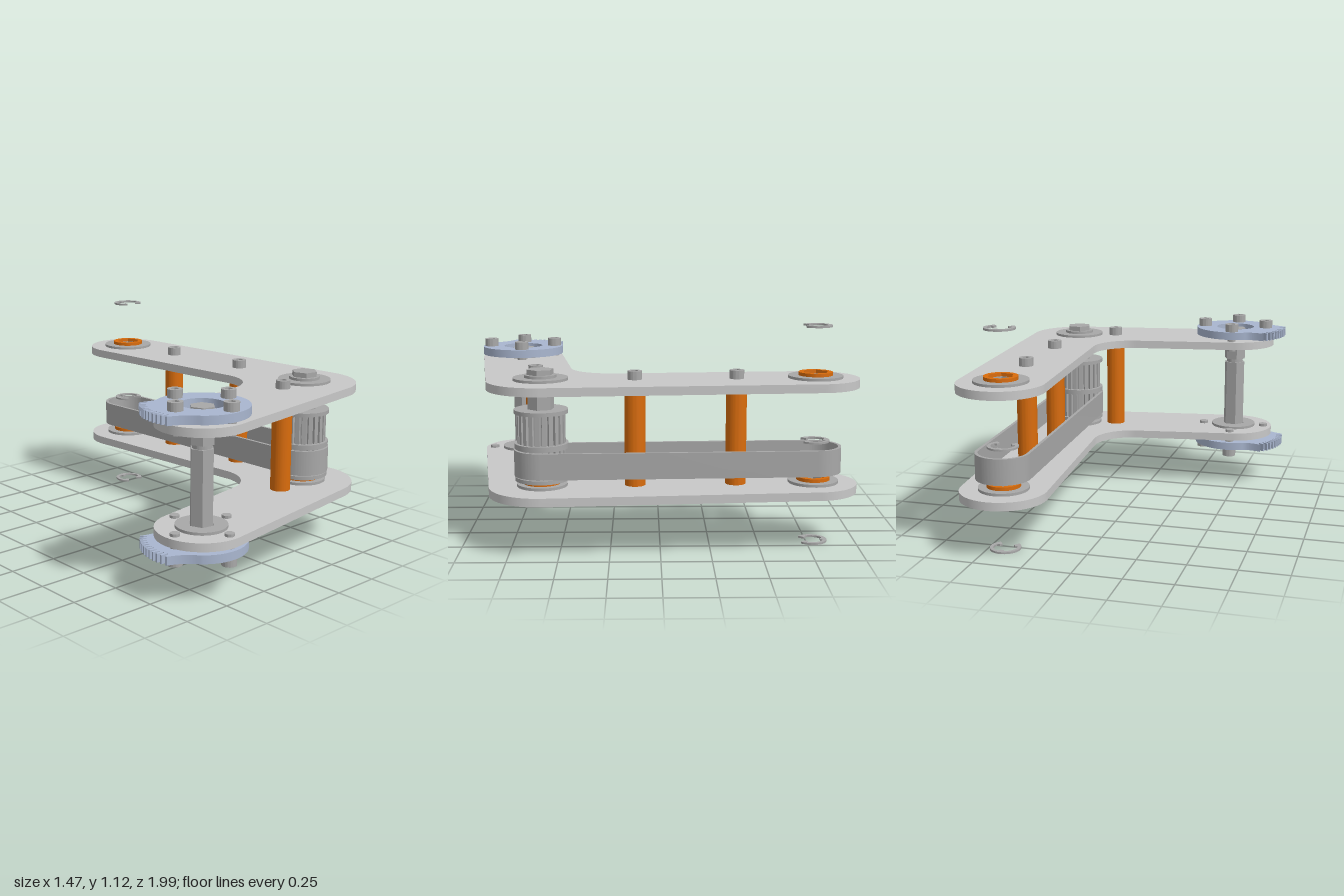
import * as THREE from 'three';
import { toCreasedNormals } from 'three/addons/utils/BufferGeometryUtils.js';

const mat = (name, color) => Object.assign(new THREE.MeshStandardMaterial({ color }), { name });
const RAD = Math.PI / 180;
const MID = 0.56; // height of the mirror plane between the two plates

// Pivot positions in plan (x, z) with the plate radius around each
const A = { x: 0.415, z: -0.78, r: 0.22 };
const B = { x: 0.465, z: 0.592, r: 0.268 };
const C = { x: -0.445, z: 0.77, r: 0.225 };

export function createModel() {
  const plateGrey = mat('plate grey', 0xc8c8c8);
  const steel = mat('steel grey', 0xa8a8a8);
  const orange = mat('orange', 0xd96c0c);
  const blue = mat('gear blue', 0xa9b6cf);
  const model = new THREE.Group();

  // Extrude a plan shape (x, z) between two heights
  function slab(name, shape, y0, y1, material, x = 0, z = 0) {
    const raw = new THREE.ExtrudeGeometry(shape, { depth: y1 - y0, bevelEnabled: false, curveSegments: 32 });
    raw.rotateX(Math.PI / 2);
    const mesh = new THREE.Mesh(toCreasedNormals(raw, 0.5), material);
    mesh.name = name;
    mesh.position.set(x, y1, z);
    model.add(mesh);
    return mesh;
  }
  const circle = (r, T = THREE.Shape) => new T().absarc(0, 0, r, 0, Math.PI * 2);
  const polar = (r, deg) => new THREE.Vector2(r * Math.cos(deg * RAD), r * Math.sin(deg * RAD));
  const hexPoints = (r, turn = 10) => [0, 1, 2, 3, 4, 5].map(i => polar(r, turn + i * 60));
  const hex = r => new THREE.Shape(hexPoints(r));
  function hexRing(r, hole) {
    const s = circle(r);
    s.holes.push(new THREE.Path(hexPoints(hole)));
    return s;
  }
  // Same part on the upper side and mirrored on the lower side
  function both(name, shape, y0, y1, material, p) {
    slab(name, shape, y0, y1, material, p.x, p.z);
    slab(name, shape, 2 * MID - y1, 2 * MID - y0, material, p.x, p.z);
  }
  // Socket head screw standing on height y, above and below
  function screws(name, p, y, h) {
    both(name, hexRing(0.037, 0.02), y, y + h, steel, p);
    both(name + 'Core', circle(0.03), y, y + h * 0.4, steel, p);
  }

  // Bent side plates
  const tangent = (p, q) => Math.atan2(q.z - p.z, q.x - p.x) -
    Math.acos((p.r - q.r) / Math.hypot(q.x - p.x, q.z - p.z));
  const ab = tangent(A, B), bc = tangent(B, C);
  const plate = new THREE.Shape();
  plate.absarc(A.x, A.z, A.r, 176 * RAD, ab + 2 * Math.PI);
  plate.absarc(B.x, B.z, B.r, ab, bc);
  plate.absarc(C.x, C.z, C.r, bc, 261.4 * RAD);
  plate.absarc(0.0475, 0.248, 0.217, 81.4 * RAD, -4 * RAD, true);
  plate.closePath();
  for (const p of [A, B, C]) plate.holes.push(new THREE.Path().absarc(p.x, p.z, 0.085, 0, Math.PI * 2));
  both('sidePlate', plate, 0.807, 0.85, plateGrey, { x: 0, z: 0 });

  // Bearings with a flange on both faces of each plate
  for (const p of [A, B, C]) {
    const r = p === C ? 0.13 : 0.137;
    both('bearingOuterFlange', hexRing(r, 0.064), 0.85, 0.863, steel, p);
    both('bearingInnerFlange', hexRing(0.127, 0.064), 0.793, 0.807, steel, p);
    both('bearingBody', hexRing(0.085, 0.064), 0.807, 0.85, steel, p);
  }

  // Orange bushings at the free end and under the pulley
  both('bushing', hexRing(0.085, 0.066), 0.863, 0.88, orange, A);
  slab('lowerBushing', hexRing(0.085, 0.066), 0.327, 0.345, orange, A.x, A.z);
  slab('pulleyBushing', hexRing(0.095, 0.064), 0.327, 0.345, orange, B.x, B.z);

  // Toothed sector gears
  const gear = new THREE.Shape();
  gear.absarc(0, 0, 0.225, 242 * RAD, 495.5 * RAD);
  const foot = polar(0.225, 155), root = polar(0.292, 166);
  gear.quadraticCurveTo(foot.x, foot.y, root.x, root.y);
  const TEETH = 11, step = 60 / TEETH;
  for (let i = 0; i < TEETH; i++) {
    for (const [f, r] of [[0.05, 0.292], [0.4, 0.292], [0.6, 0.258], [0.85, 0.258]]) {
      const v = polar(r, 166 + (i + f) * step);
      gear.lineTo(v.x, v.y);
    }
  }
  const tip = polar(0.292, 227), bend = polar(0.235, 234), end = polar(0.225, 242);
  gear.lineTo(tip.x, tip.y);
  gear.quadraticCurveTo(bend.x, bend.y, end.x, end.y);
  gear.holes.push(circle(0.108, THREE.Path));
  both('sectorGear', gear, 0.865, 0.908, blue, C);

  // Gear screws, with their tips showing inside the plates
  for (let i = 0; i < 4; i++) {
    const v = polar(0.178, -3 + i * 90);
    const p = { x: C.x + v.x, z: C.z + v.y };
    screws('gearScrew', p, 0.908, 0.042);
    both('gearScrewShank', circle(0.024), 0.793, 0.908, steel, p);
  }

  // Hexagonal gear shaft with a grooved spacer on top
  slab('gearShaft', hex(0.06), 0.215, 0.7, steel, C.x, C.z);
  slab('gearShaftNeck', circle(0.047), 0.7, 0.72, steel, C.x, C.z);
  slab('gearShaftSpacer', hex(0.062), 0.72, 0.9, steel, C.x, C.z);
  both('gearShaftHub', circle(0.068), 0.863, 0.875, steel, C);

  // Pulley shaft
  slab('pulleyShaft', hex(0.068), 0.217, 0.903, steel, B.x, B.z);
  both('pulleyShaftHub', circle(0.08), 0.863, 0.877, steel, B);

  // Double toothed pulley with flanges
  const teeth = [];
  for (let i = 0; i < 22; i++) {
    for (const [f, r] of [[0, 0.121], [0.6, 0.121], [0.68, 0.106], [0.92, 0.106]]) {
      teeth.push(polar(r, (i + f) * 360 / 22));
    }
  }
  slab('pulley', new THREE.Shape(teeth), 0.345, 0.7, steel, B.x, B.z);
  for (const [y0, y1] of [[0.345, 0.365], [0.508, 0.535], [0.685, 0.705]]) {
    slab('pulleyFlange', circle(0.135), y0, y1, steel, B.x, B.z);
  }

  // Belt loop around the pulley and the free end
  function loop(r, T) {
    const turn = Math.atan2(B.z - A.z, B.x - A.x);
    const s = new T();
    s.absarc(A.x, A.z, r, turn + Math.PI / 2, turn + Math.PI * 1.5);
    s.absarc(B.x, B.z, r, turn - Math.PI / 2, turn + Math.PI / 2);
    s.closePath();
    return s;
  }
  const belt = loop(0.138, THREE.Shape);
  belt.holes.push(loop(0.122, THREE.Path));
  slab('belt', belt, 0.37, 0.502, steel);

  // Orange standoffs between the plates, screwed from both sides
  for (const [x, z] of [[0.252, 0.635], [0.458, 0.125], [0.436, -0.383]]) {
    slab('standoff', circle(0.052), 0.313, 0.807, orange, x, z);
    screws('standoffScrew', { x, z }, 0.85, 0.043);
  }

  // Loose retaining clips on the free axis
  const clip = new THREE.Shape();
  clip.absarc(0, 0, 0.078, 130 * RAD, 410 * RAD);
  const inner = [[0.046, 50], [0.046, 30], [0.06, 25], [0.06, -75], [0.046, -78], [0.046, -102],
    [0.06, -105], [0.06, -205], [0.046, -210], [0.046, -230]];
  inner.forEach(([r, a], i) => {
    const prev = inner[i - 1];
    if (prev && prev[0] === r) clip.absarc(0, 0, r, prev[1] * RAD, a * RAD, true);
    else { const v = polar(r, a); clip.lineTo(v.x, v.y); }
  });
  clip.closePath();
  for (const y of [0, 0.523, 1.105]) slab('retainingClip', clip, y, y + 0.01, steel, A.x, A.z);

  return model;
}
